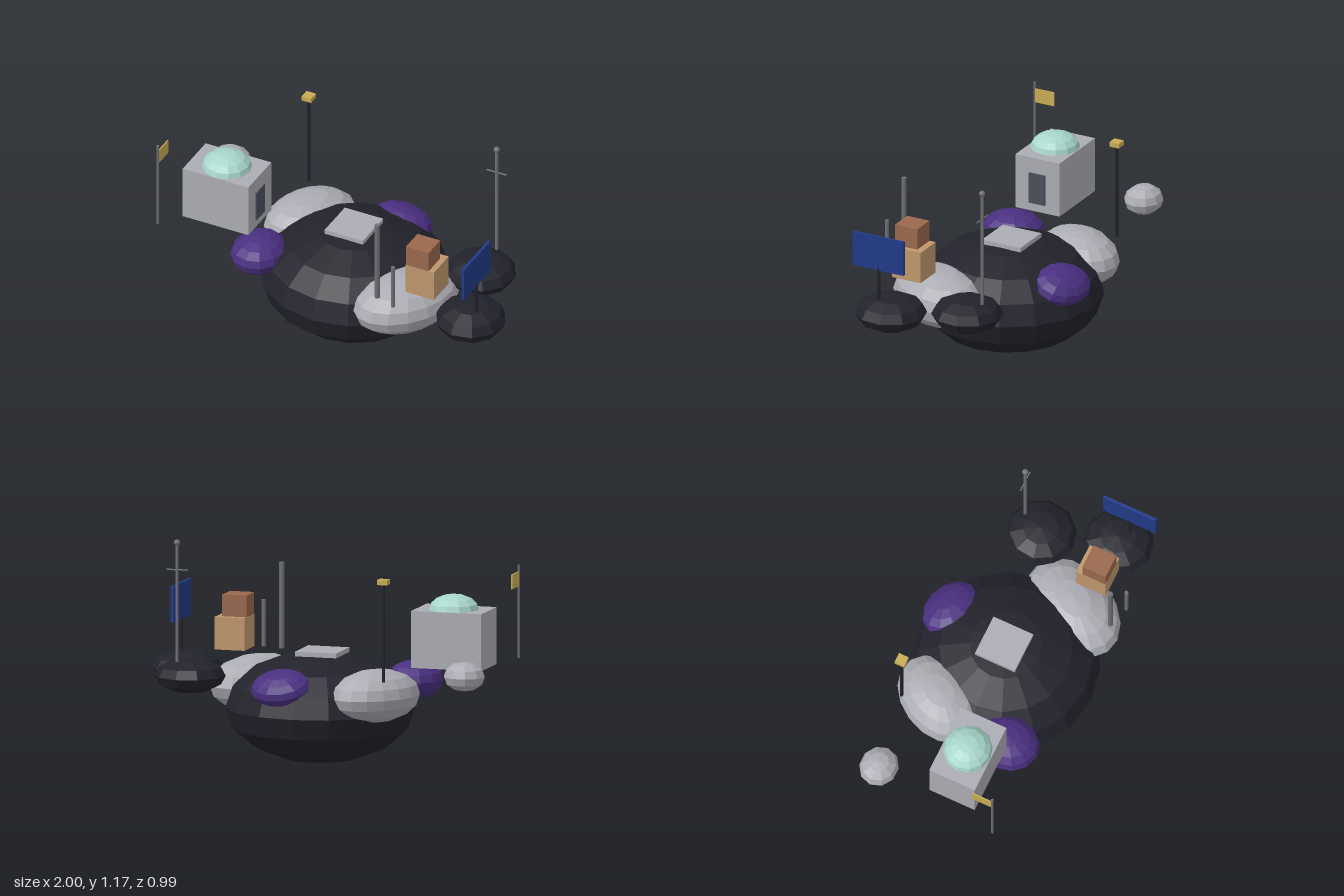
import * as THREE from 'three';

const mat = (name, color) => {
  const m = new THREE.MeshStandardMaterial({ color });
  m.name = name;
  return m;
};

export function createModel() {
  const root = new THREE.Group();
  root.name = 'asteroidOutpost';

  const darkRock = mat('darkRock', 0x22222c);
  const paleGrey = mat('paleGrey', 0xacacb4);
  const purple = mat('purple', 0x4a2f80);
  const steel = mat('steel', 0x707076);
  const mint = mat('mint', 0xa8d6ca);
  const tan = mat('tan', 0xc0976d);
  const brown = mat('brown', 0x9a684c);
  const blue = mat('blue', 0x203a88);
  const gold = mat('gold', 0xc8ac55);
  const slate = mat('slate', 0x4a4f5c);

  const add = (name, geo, material, [x, y, z], parent = root) => {
    const mesh = new THREE.Mesh(geo, material);
    mesh.name = name;
    mesh.position.set(x, y, z);
    parent.add(mesh);
    return mesh;
  };

  // Faceted ellipsoid: scale is baked in so each facet keeps its own normal
  const rock = (name, material, pos, [rx, ry, rz], segs, rings, rot = [0, 0, 0]) => {
    const geo = new THREE.SphereGeometry(1, segs, rings).scale(rx, ry, rz).toNonIndexed();
    geo.computeVertexNormals();
    const mesh = add(name, geo, material, pos);
    mesh.rotation.set(rot[0], rot[1], rot[2], 'YXZ');
    return mesh;
  };
  const box = (name, material, pos, size, parent) =>
    add(name, new THREE.BoxGeometry(...size), material, pos, parent);
  // Upright pole from y0 to y1
  const pole = (name, material, x, z, y0, y1, r, parent) =>
    add(name, new THREE.CylinderGeometry(r, r, y1 - y0, 8), material, [x, (y0 + y1) / 2, z], parent);
  const group = (name) => {
    const g = new THREE.Group();
    g.name = name;
    root.add(g);
    return g;
  };

  // Main body and the lumps grown onto it
  rock('mainRock', darkRock, [0, 0.295, 0], [0.5, 0.291, 0.494], 16, 8);
  rock('frontGreyLump', paleGrey, [0.4, 0.375, 0.2], [0.21, 0.15, 0.305], 16, 8, [0, -0.5, 0]);
  rock('backGreyLump', paleGrey, [-0.37, 0.4, -0.21], [0.19, 0.14, 0.265], 16, 8, [0, -0.52, 0]);
  rock('frontPurpleLump', purple, [-0.445, 0.428, 0.225], [0.15, 0.1, 0.17], 12, 8);
  rock('backPurpleLump', purple, [0.1, 0.44, -0.365], [0.17, 0.085, 0.14], 12, 8, [-0.4, -0.3, 0]);

  // Small satellite rocks
  rock('frontSatelliteRock', darkRock, [0.813, 0.425, 0.262], [0.187, 0.095, 0.19], 10, 6, [0, 0.2, 0]);
  rock('backSatelliteRock', darkRock, [0.677, 0.445, -0.12], [0.187, 0.092, 0.19], 10, 6, [0, 0.2, 0]);
  rock('greySatelliteRock', paleGrey, [-0.888, 0.54, -0.31], [0.112, 0.078, 0.103], 10, 6);

  // Landing pad
  box('landingPad', paleGrey, [-0.01, 0.584, -0.005], [0.225, 0.025, 0.23]);

  // Domed building with a side door
  const building = group('building');
  box('walls', paleGrey, [-0.695, 0.675, 0.112], [0.385, 0.301, 0.263], building);
  box('door', slate, [-0.5, 0.655, 0.113], [0.009, 0.17, 0.097], building);
  const dome = rock('dome', mint, [-0.695, 0.822, 0.112], [0.134, 0.083, 0.131], 12, 8);
  building.add(dome);

  // Stacked crates
  box('lowerCrate', tan, [0.558, 0.624, 0.265], [0.165, 0.172, 0.17]);
  box('upperCrate', brown, [0.543, 0.767, 0.283], [0.133, 0.115, 0.133]);

  // Two plain posts
  pole('tallPost', steel, 0.353, 0.437, 0.52, 0.976, 0.0145);
  pole('shortPost', steel, 0.465, 0.476, 0.52, 0.768, 0.011);

  // Sign board
  const sign = group('sign');
  pole('signPost', darkRock, 0.865, 0.305, 0.5, 0.69, 0.01, sign);
  box('signBoard', blue, [0.865, 0.768, 0.305], [0.016, 0.19, 0.304], sign);

  // Antenna with crossbar and ball
  const antenna = group('antenna');
  pole('antennaMast', steel, 0.714, -0.228, 0.53, 1.15, 0.009, antenna);
  add('antennaBall', new THREE.SphereGeometry(0.017, 10, 8), steel, [0.714, 1.16, -0.228], antenna);
  const bar = pole('antennaCrossbar', steel, 0.714, -0.228, 0.958, 1.074, 0.004, antenna);
  bar.rotation.z = Math.PI / 2;

  // Flag
  const flag = group('flag');
  pole('flagPole', steel, -0.963, 0.382, 0.54, 1.033, 0.007, flag);
  box('flagCloth', gold, [-0.963, 0.958, 0.322], [0.007, 0.077, 0.112], flag);

  // Lamp
  const lamp = group('lamp');
  pole('lampPole', darkRock, -0.467, -0.38, 0.5, 1.02, 0.009, lamp);
  box('lampCap', gold, [-0.467, 1.03, -0.38], [0.055, 0.026, 0.056], lamp);

  return root;
}
